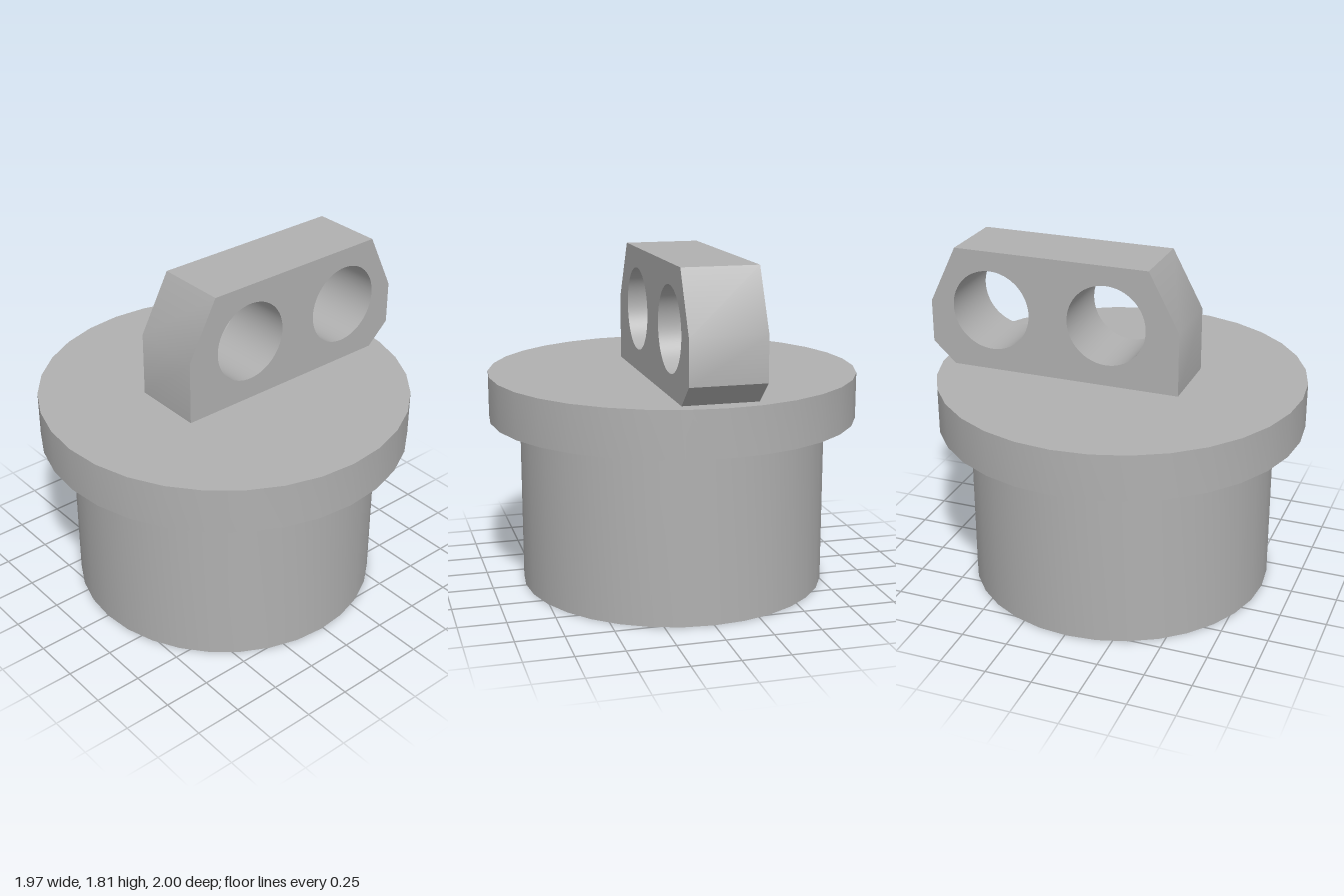
import * as THREE from 'three';
import { toCreasedNormals } from 'three/addons/utils/BufferGeometryUtils.js';

const CREASE = 0.53;
const grey = new THREE.MeshStandardMaterial({ color: 0xb0b0b0 });
grey.name = 'plain grey';

function part(name, geometry) {
  const mesh = new THREE.Mesh(toCreasedNormals(geometry, CREASE), grey);
  mesh.name = name;
  return mesh;
}

export function createModel() {
  const model = new THREE.Group();
  model.name = 'flangedPlug';

  // Round plug: stepped cavity, barrel, then flange, as one turned profile
  const profile = [
    [0, 0.4], [0.25, 0.4], [0.25, 0.37], [0.47, 0.37], [0.47, 0.34], [0.63, 0.34],
    [0.63, 0], [0.82, 0], [0.82, 0.91],
    [0.985, 0.91], [0.985, 1.155], [0, 1.155],
  ].map(([r, y]) => new THREE.Vector2(r, y));
  const plug = part('plugBody', new THREE.LatheGeometry(profile, 32));
  plug.position.z = 0.012;
  model.add(plug);

  // Upright lug with chamfered ends and two through holes, drawn in z and y
  const outline = new THREE.Shape([
    [0.39, 1.15], [0.39, 1.5], [0.225, 1.81], [-0.85, 1.81],
    [-1, 1.5], [-1, 1.27], [-0.87, 1.15],
  ].map(([z, y]) => new THREE.Vector2(z, y)));
  for (const z of [-0.005, -0.653]) {
    outline.holes.push(new THREE.Path().absarc(z, 1.487, 0.217, 0, Math.PI * 2));
  }
  const lug = new THREE.ExtrudeGeometry(outline, { depth: 0.39, bevelEnabled: false, curveSegments: 32 });
  lug.rotateY(-Math.PI / 2).translate(0.193, 0, 0);
  model.add(part('lug', lug));

  return model;
}
